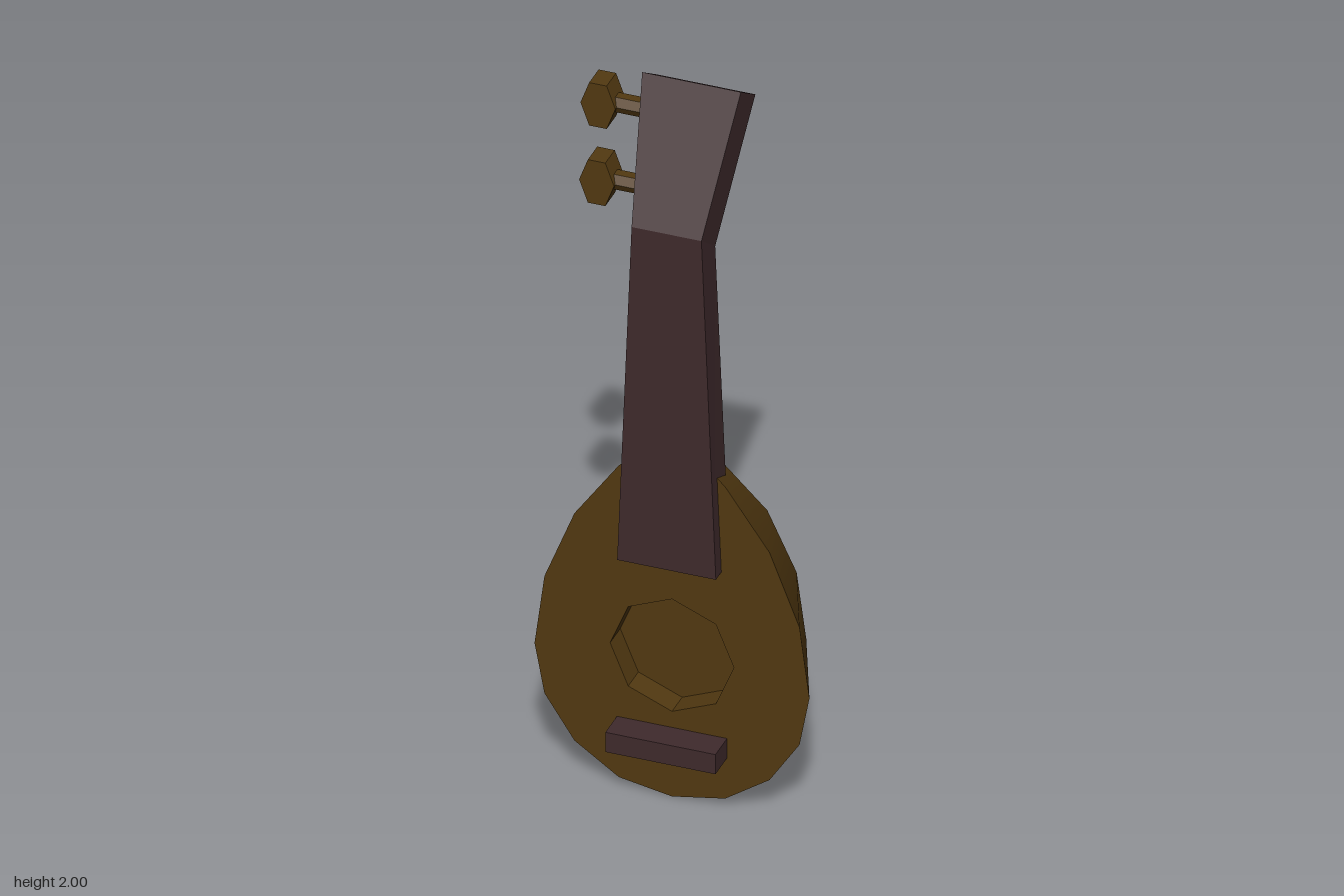
import * as THREE from 'three';
import { toCreasedNormals } from 'three/addons/utils/BufferGeometryUtils.js';

const wood = new THREE.MeshStandardMaterial({ color: 0x523911, side: THREE.DoubleSide });
wood.name = 'brown wood';
const darkWood = new THREE.MeshStandardMaterial({ color: 0x3f2a2c });
darkWood.name = 'dark wood';

const FACE_Z = 0.14;
const HOLE = { y: 0.415, r: 0.163, depth: 0.07 };

function add(parent, name, geometry, material, x = 0, y = 0, z = 0) {
  const mesh = new THREE.Mesh(geometry, material);
  mesh.name = name;
  mesh.position.set(x, y, z);
  parent.add(mesh);
  return mesh;
}

// Half-width of the body against height
const profile = [
  [0, 0.005], [0.14, 0.03], [0.257, 0.11], [0.336, 0.23], [0.362, 0.37],
  [0.336, 0.57], [0.257, 0.77], [0.14, 0.935], [0.05, 1.02], [0, 1.03],
].map(([x, y]) => new THREE.Vector2(x, y));

function buildBody() {
  const body = new THREE.Group();
  body.name = 'body';

  // Ribbed bowl: half a lathe with four staves
  const bowl = new THREE.LatheGeometry(profile, 4, Math.PI / 2, Math.PI);
  add(body, 'bowl', toCreasedNormals(bowl, 0.6), wood, 0, 0, FACE_Z);

  // Flat soundboard with an octagonal hole
  const left = profile.slice(1, -1).reverse().map((p) => new THREE.Vector2(-p.x, p.y));
  const board = new THREE.Shape([...profile, ...left]);
  const ring = [];
  for (let i = 0; i < 8; i++) {
    const a = (-i * Math.PI) / 4;
    ring.push(new THREE.Vector2(HOLE.r * Math.cos(a), HOLE.y + HOLE.r * Math.sin(a)));
  }
  board.holes.push(new THREE.Path(ring));
  add(body, 'soundboard', new THREE.ShapeGeometry(board), wood, 0, 0, FACE_Z);

  // Recess behind the hole
  const wall = new THREE.CylinderGeometry(HOLE.r, HOLE.r, HOLE.depth, 8, 1, true);
  wall.rotateX(Math.PI / 2);
  add(body, 'soundHoleWall', toCreasedNormals(wall, 0.5), wood, 0, HOLE.y, FACE_Z - HOLE.depth / 2);
  add(body, 'soundHoleFloor', new THREE.CircleGeometry(HOLE.r, 8), wood, 0, HOLE.y, FACE_Z - HOLE.depth);

  add(body, 'bridge', new THREE.BoxGeometry(0.29, 0.057, 0.09), darkWood, 0, 0.177, 0.175);
  return body;
}

// Neck and bent head: a box with three rows of corners moved into place
function buildNeck() {
  const rows = [
    { half: 0.13, front: [0.685, 0.178], back: [0.685, 0.083] },
    { half: 0.092, front: [1.66, 0.178], back: [1.59, 0.083] },
    { half: 0.13, front: [2.0, 0.005], back: [1.935, -0.095] },
  ];
  const box = new THREE.BoxGeometry(2, 2, 2, 1, 2, 1);
  const pos = box.attributes.position;
  for (let i = 0; i < pos.count; i++) {
    const row = rows[Math.round(pos.getY(i)) + 1];
    const [y, z] = pos.getZ(i) > 0 ? row.front : row.back;
    pos.setXYZ(i, pos.getX(i) * row.half, y, z);
  }
  const geometry = box.toNonIndexed();
  geometry.computeVertexNormals();
  return geometry;
}

// Tuning peg: thin shaft with a hexagonal key
function buildPeg(x, y, z) {
  const peg = new THREE.Group();
  peg.name = 'tuningPeg';
  peg.position.set(x, y, z);

  const shaft = new THREE.CylinderGeometry(0.025, 0.025, 0.16, 6);
  shaft.rotateZ(Math.PI / 2);
  add(peg, 'pegShaft', toCreasedNormals(shaft, 0.5), wood, 0.1, 0, 0);

  const key = new THREE.CylinderGeometry(1, 1, 0.065, 6);
  key.rotateX(Math.PI / 2);
  key.rotateZ(Math.PI / 2);
  key.scale(0.046, 0.072, 1);
  add(peg, 'pegKey', toCreasedNormals(key, 0.5), wood);
  return peg;
}

export function createModel() {
  const model = new THREE.Group();
  model.name = 'lute';
  model.add(buildBody());
  add(model, 'neck', buildNeck(), darkWood);
  model.add(buildPeg(-0.24, 1.888, -0.01));
  model.add(buildPeg(-0.213, 1.717, 0.07));
  return model;
}
